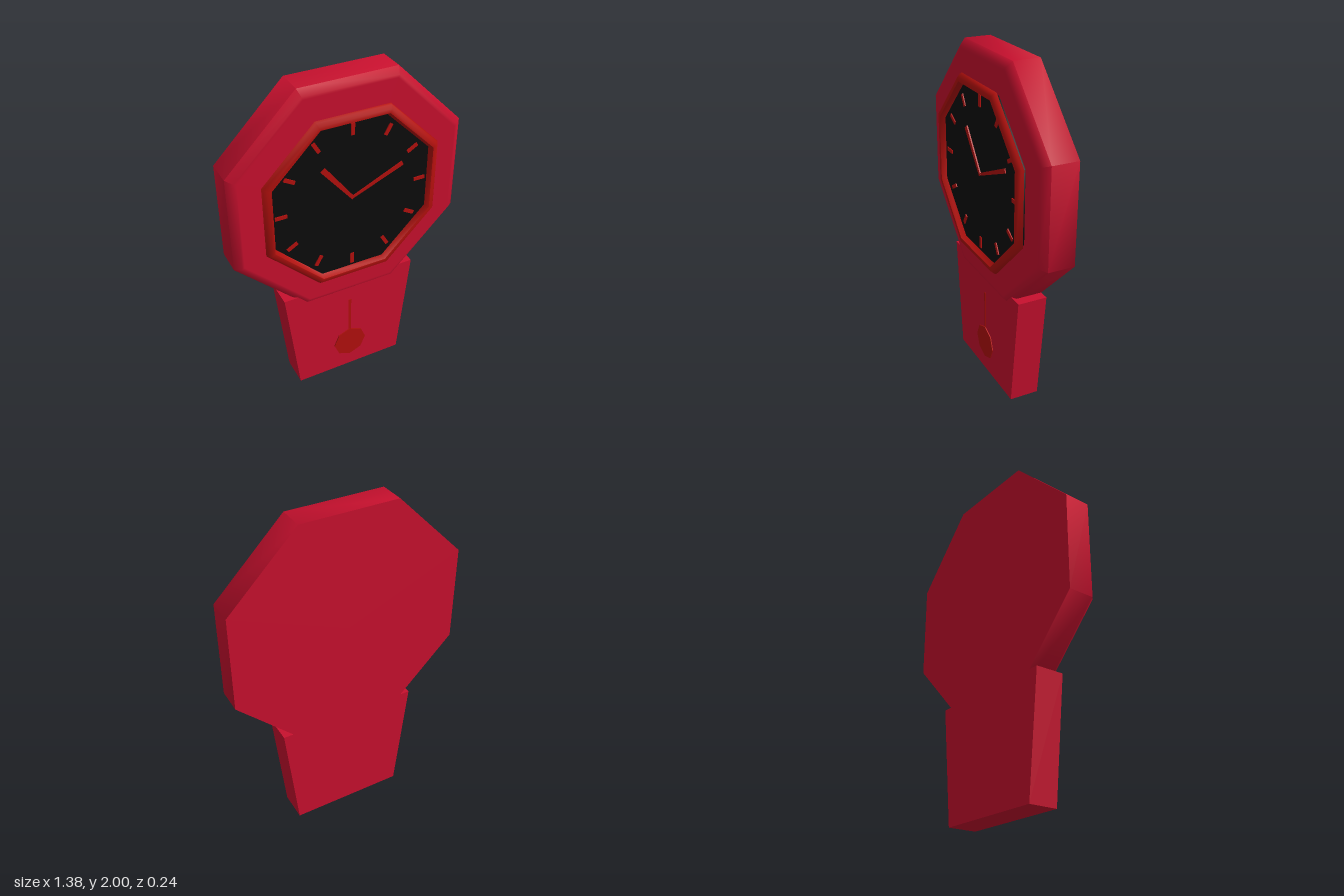
import * as THREE from 'three';
import { toCreasedNormals } from 'three/addons/utils/BufferGeometryUtils.js';

const CENTER_Y = 1.31;
const COS = Math.cos(Math.PI / 8);

function makeMaterial(name, color) {
  const m = new THREE.MeshStandardMaterial({ color });
  m.name = name;
  return m;
}

// Octagonal solid facing +z; profile is [distance to flat side, z]
function octagon(profile) {
  const points = profile.map(([r, z]) => new THREE.Vector2(r / COS, z));
  const geo = new THREE.LatheGeometry(points, 8, Math.PI / 8);
  geo.rotateX(Math.PI / 2);
  return toCreasedNormals(geo, 0.9);
}

// Flat-sided plate from a 2D outline, between z0 and z1
function plate(outline, z0, z1) {
  const shape = new THREE.Shape(outline.map(([x, y]) => new THREE.Vector2(x, y)));
  const geo = new THREE.ExtrudeGeometry(shape, { depth: z1 - z0, bevelEnabled: false });
  return geo.translate(0, 0, z0);
}

// Upright tapered bar between y0 and y1
function bar(w0, w1, y0, y1, z0, z1) {
  return plate([[-w0 / 2, y0], [w0 / 2, y0], [w1 / 2, y1], [-w1 / 2, y1]], z0, z1);
}

export function createModel() {
  const crimson = makeMaterial('crimson case', 0xc8102e);
  const red = makeMaterial('red trim', 0xb3100d);
  const black = makeMaterial('black dial', 0x0c0c0c);

  const clock = new THREE.Group();
  clock.name = 'wallClock';
  const add = (parent, name, geo, mat) => {
    const mesh = new THREE.Mesh(geo, mat);
    mesh.name = name;
    parent.add(mesh);
    return mesh;
  };

  // Pendulum case, narrower at the foot
  add(clock, 'pendulumCase', bar(0.69, 0.84, 0, 0.695, -0.12, 0.055), crimson);

  // Octagonal head with everything on its dial
  const head = new THREE.Group();
  head.name = 'clockHead';
  head.position.y = CENTER_Y;
  clock.add(head);
  add(head, 'headCase', octagon([
    [0, -0.12], [0.69, -0.12], [0.69, 0.035], [0.655, 0.07], [0.64, 0.07], [0, 0.07],
  ]), crimson);
  add(head, 'dial', octagon([[0, 0.065], [0.5, 0.065], [0.5, 0.08], [0, 0.08]]), black);
  add(head, 'dialRing', octagon([
    [0.52, 0.088], [0.515, 0.1], [0.5, 0.118], [0.478, 0.118], [0.464, 0.088], [0.52, 0.088],
  ]), red);

  // Hour marks
  for (let i = 0; i < 12; i++) {
    const mark = add(head, 'hourMark', bar(0.022, 0.022, 0.386, 0.455, 0.079, 0.086), red);
    mark.rotation.z = -i * Math.PI / 6;
  }

  // Hands, widening toward the tip
  const hourHand = add(head, 'hourHand', bar(0.02, 0.033, -0.005, 0.283, 0.079, 0.088), red);
  hourHand.rotation.z = Math.atan2(0.175, 0.222);
  const minuteHand = add(head, 'minuteHand', bar(0.015, 0.027, -0.005, 0.334, 0.079, 0.086), red);
  minuteHand.rotation.z = -Math.atan2(0.307, 0.132);

  // Pendulum
  const pendulum = new THREE.Group();
  pendulum.name = 'pendulum';
  clock.add(pendulum);
  add(pendulum, 'pendulumRod', bar(0.018, 0.018, 0.25, 0.545, 0.052, 0.058), red);
  const bob = Array.from({ length: 8 }, (_, i) => {
    const a = i * Math.PI / 4;
    return [0.107 * Math.cos(a), 0.198 + 0.107 * Math.sin(a)];
  });
  add(pendulum, 'pendulumBob', plate(bob, 0.052, 0.061), red);

  return clock;
}
